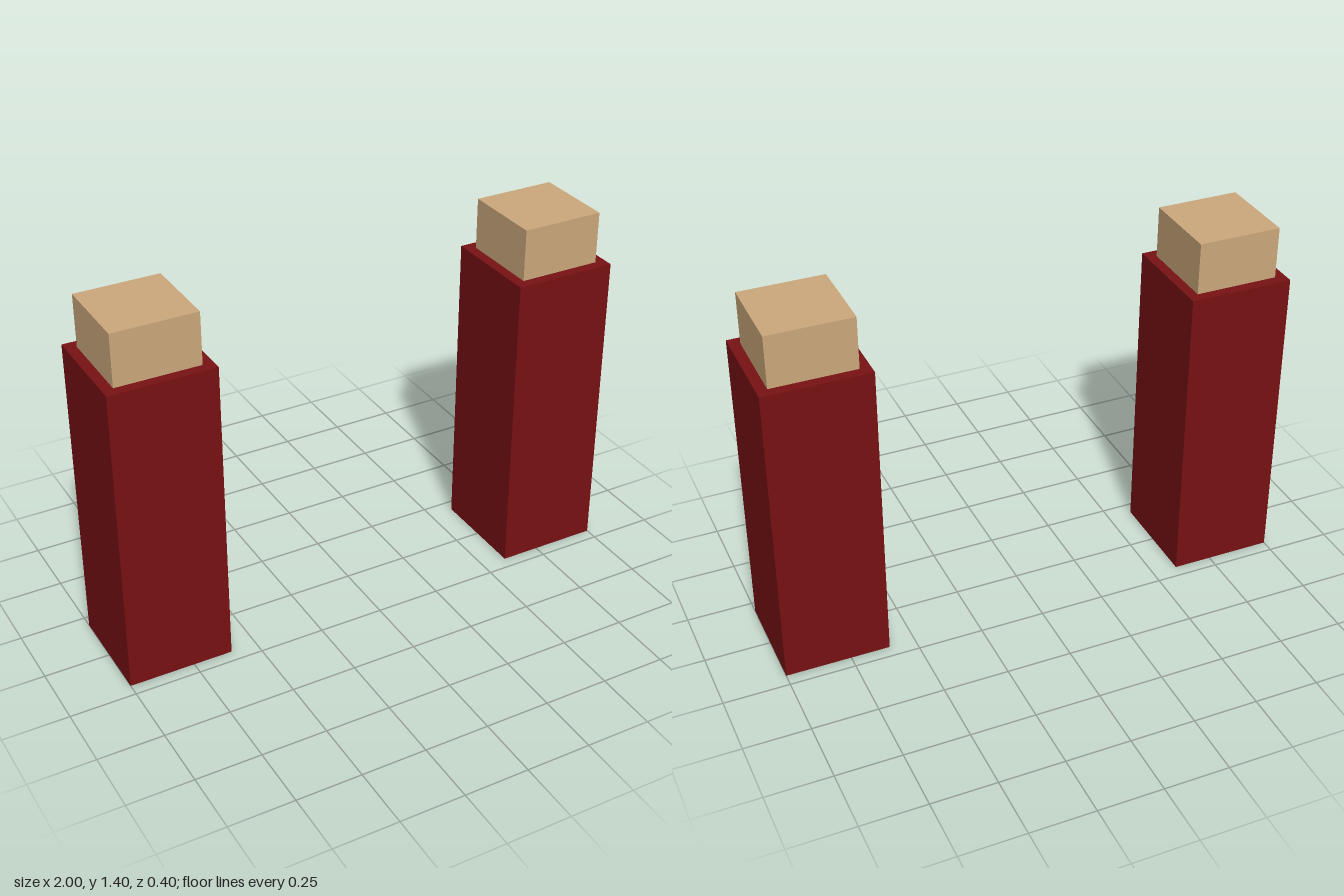
import * as THREE from 'three';

export function createModel() {
  const model = new THREE.Group();
  const red = new THREE.MeshStandardMaterial({ color: 0x781113 });
  const tan = new THREE.MeshStandardMaterial({ color: 0xcca87c });

  // square block standing on the given height
  const block = (name, width, height, base, material) => {
    const mesh = new THREE.Mesh(new THREE.BoxGeometry(width, height, width), material);
    mesh.name = name;
    mesh.position.y = base + height / 2;
    return mesh;
  };

  // matching left and right arms: sleeve with a hand on top
  for (const [side, sign] of [['left', 1], ['right', -1]]) {
    const arm = new THREE.Group();
    arm.name = side + 'Arm';
    arm.position.x = sign * 0.8;
    arm.add(
      block(side + 'Sleeve', 0.4, 1.2, 0, red),
      block(side + 'Hand', 0.32, 0.2, 1.2, tan)
    );
    model.add(arm);
  }
  return model;
}
